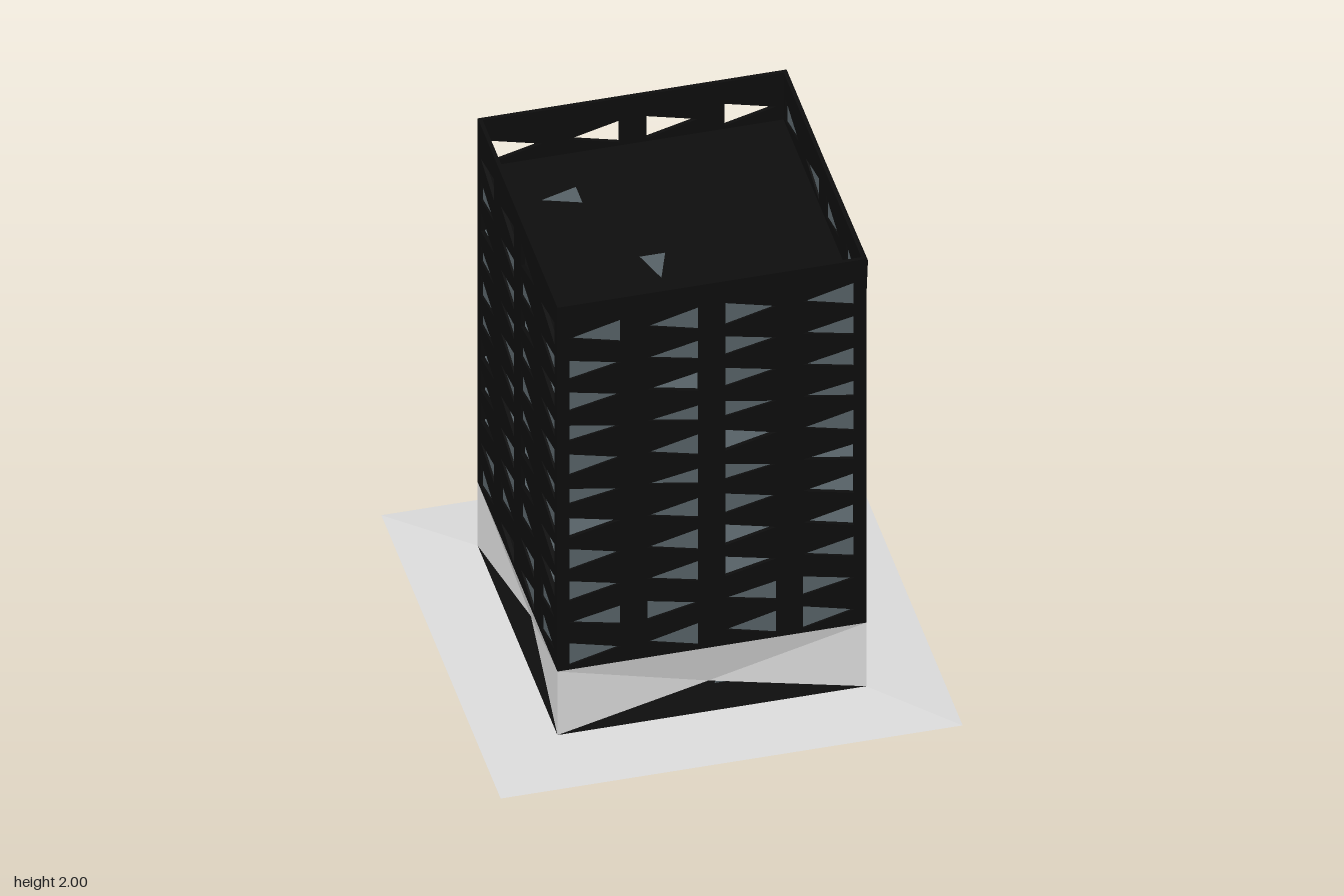
import * as THREE from 'three';
import { ConvexGeometry } from 'three/addons/geometries/ConvexGeometry.js';

const HALF = 0.575, BASE = 0.34, TOP = 2, PITCH = 0.144, ROWS = 11;
const COLS = [-0.435, -0.145, 0.145, 0.435];

// window direction per row, bottom to top: '>' points right, '<' points left
const DIRECTIONS = ['><<>', '<><>', '><><', '><><', '><><', '><><', '><><', '><><', '><><', '><><', '<<><'];
const HEIGHTS = [0.1, 0.085, 0.09, 0.095, 0.09, 0.07, 0.095, 0.07, 0.085, 0.085, 0.1];
// unglazed windows as row:column, for the front/back pair and the side pair
const OPEN = [
  ['2:2', '3:2', '3:3', '4:0', '4:3', '5:3', '6:2', '8:1'],
  ['0:2', '2:0', '2:3', '3:0', '3:1', '3:3', '4:1', '4:2', '4:3', '8:0', '8:1', '8:3'],
];

function createMaterials() {
  const make = (name, color, double) => {
    const m = new THREE.MeshStandardMaterial({ color, flatShading: true });
    m.name = name;
    if (double) m.side = THREE.DoubleSide;
    return m;
  };
  return {
    black: make('black', 0x0d0d0d, true),
    glass: make('slate grey', 0x566166, true),
    stone: make('pale grey', 0xdadada, true),
  };
}

function add(parent, name, geometry, material, x = 0, y = 0, z = 0) {
  const mesh = new THREE.Mesh(geometry, material);
  mesh.name = name;
  mesh.position.set(x, y, z);
  parent.add(mesh);
  return mesh;
}

const polygon = (pts) => new THREE.Shape(pts.map(([x, y]) => new THREE.Vector2(x, y)));

function windowPoints(row, col) {
  const x = COLS[col], y = 0.41 + row * PITCH, h = HEIGHTS[row] / 2;
  const d = DIRECTIONS[row][col] === '>' ? 1 : -1;
  return [[x - 0.095 * d, y - h], [x + 0.095 * d, y], [x - 0.095 * d, y + h]];
}

// one facade: perforated wall, triangular panes and folded stone band
function createSide(index, mat) {
  const side = new THREE.Group();
  side.name = ['frontFacade', 'leftFacade', 'backFacade', 'rightFacade'][index];
  const wall = polygon([[-HALF, BASE], [HALF, BASE], [HALF, TOP], [-HALF, TOP]]);
  const panes = [];
  for (let row = 0; row < ROWS; row++) {
    for (let col = 0; col < 4; col++) {
      const shape = polygon(windowPoints(row, col));
      wall.holes.push(new THREE.Path(shape.getPoints()));
      const listed = OPEN[index % 2].includes(`${row}:${index < 2 ? col : 3 - col}`);
      const openParapet = index >= 2 && row === ROWS - 1;
      if (!listed && !openParapet) panes.push(shape);
    }
  }
  const depth = 0.015;
  add(side, 'wall', new THREE.ExtrudeGeometry(wall, { depth, bevelEnabled: false }), mat.black, 0, 0, HALF - depth);
  add(side, 'windowPanes', new THREE.ShapeGeometry(panes), mat.glass, 0, 0, HALF - 0.008);

  // band folds inwards to the apex of the entrance arch
  const tl = [-HALF, BASE, HALF], tr = [HALF, BASE, HALF];
  const bl = [-HALF, 0.05, HALF], br = [HALF, 0.05, HALF], apex = [0, 0.15, HALF - 0.05];
  const band = new THREE.BufferGeometry();
  const corners = [tl, bl, apex, tl, apex, tr, tr, apex, br].flat();
  band.setAttribute('position', new THREE.Float32BufferAttribute(corners, 3));
  band.computeVertexNormals();
  add(side, 'archBand', band, mat.stone);

  side.rotation.y = index * Math.PI / 2;
  return side;
}

export function createModel() {
  const model = new THREE.Group();
  model.name = 'tower';
  const mat = createMaterials();

  // sloping plinth around a dark core
  const skirt = (rTop, rBottom, h) =>
    new THREE.CylinderGeometry(rTop * Math.SQRT2, rBottom * Math.SQRT2, h, 4, 1, true).rotateY(Math.PI / 4);
  add(model, 'plinthTop', skirt(HALF, 0.86, 0.02), mat.stone, 0, 0.04, 0);
  add(model, 'plinthUnderside', skirt(0.86, HALF, 0.03), mat.stone, 0, 0.015, 0);
  add(model, 'plinthCore', new THREE.BoxGeometry(2 * HALF, 0.05, 2 * HALF), mat.black, 0, 0.025, 0);

  for (let i = 0; i < 4; i++) model.add(createSide(i, mat));

  // storey slabs, dark lobby ceiling and sunken roof
  const inner = 2 * HALF - 0.03;
  for (let i = 0; i < ROWS; i++) {
    const end = i === 0 || i === ROWS - 1;
    add(model, i === 0 ? 'lobbyCeiling' : end ? 'roof' : 'floorSlab',
      new THREE.BoxGeometry(inner, 0.012, inner), end ? mat.black : mat.glass, 0, BASE + i * PITCH, 0);
  }

  // triangular rooflights
  const roofY = BASE + (ROWS - 1) * PITCH + 0.009;
  const rooflights = [
    [[-0.405, 0.315], [-0.265, 0.265], [-0.265, 0.36]],
    [[-0.145, -0.095], [-0.1, -0.235], [-0.05, -0.095]],
  ];
  for (const pts of rooflights) {
    add(model, 'rooflight', new THREE.ShapeGeometry(polygon(pts)).rotateX(-Math.PI / 2), mat.glass, 0, roofY, 0);
  }

  // slight corner fin on the parapet
  const fin = [[0.575, 2, -0.03], [0.575, 2, 0.57], [0.585, 1.98, 0.56], [0.585, 1.95, 0.55], [0.575, 1.78, 0.5], [0.575, 1.78, 0.57]];
  add(model, 'parapetFin', new ConvexGeometry(fin.map((p) => new THREE.Vector3(...p))), mat.black);

  // leaning lobby screens: x, z, turn, bottom width, top width, height, lean
  const screens = [
    [-0.38, 0.2, 0, 0.18, 0.1, 0.11, 0.03],
    [-0.15, 0.3, 0, 0.08, 0.03, 0.12, 0.02],
    [0.12, 0.42, 0, 0.14, 0.05, 0.14, 0],
    [0.45, -0.2, 0, 0.12, 0.06, 0.08, -0.03],
    [0.25, -0.43, 1, 0.16, 0.12, 0.08, -0.02],
    [-0.1, -0.15, 1, 0.2, 0.14, 0.1, 0.02],
    [0.43, 0.12, 1, 0.015, 0.06, 0.14, 0],
  ];
  for (const [x, z, turn, wide, narrow, h, lean] of screens) {
    const shape = polygon([[-wide / 2, 0], [wide / 2, 0], [lean + narrow / 2, h], [lean - narrow / 2, h]]);
    add(model, 'lobbyScreen', new THREE.ShapeGeometry(shape), mat.glass, x, 0.05, z).rotation.y = turn * Math.PI / 2;
  }
  add(model, 'lobbyPier', new THREE.BoxGeometry(0.08, 0.29, 0.08), mat.black, 0.285, 0.195, 0.05);

  return model;
}
